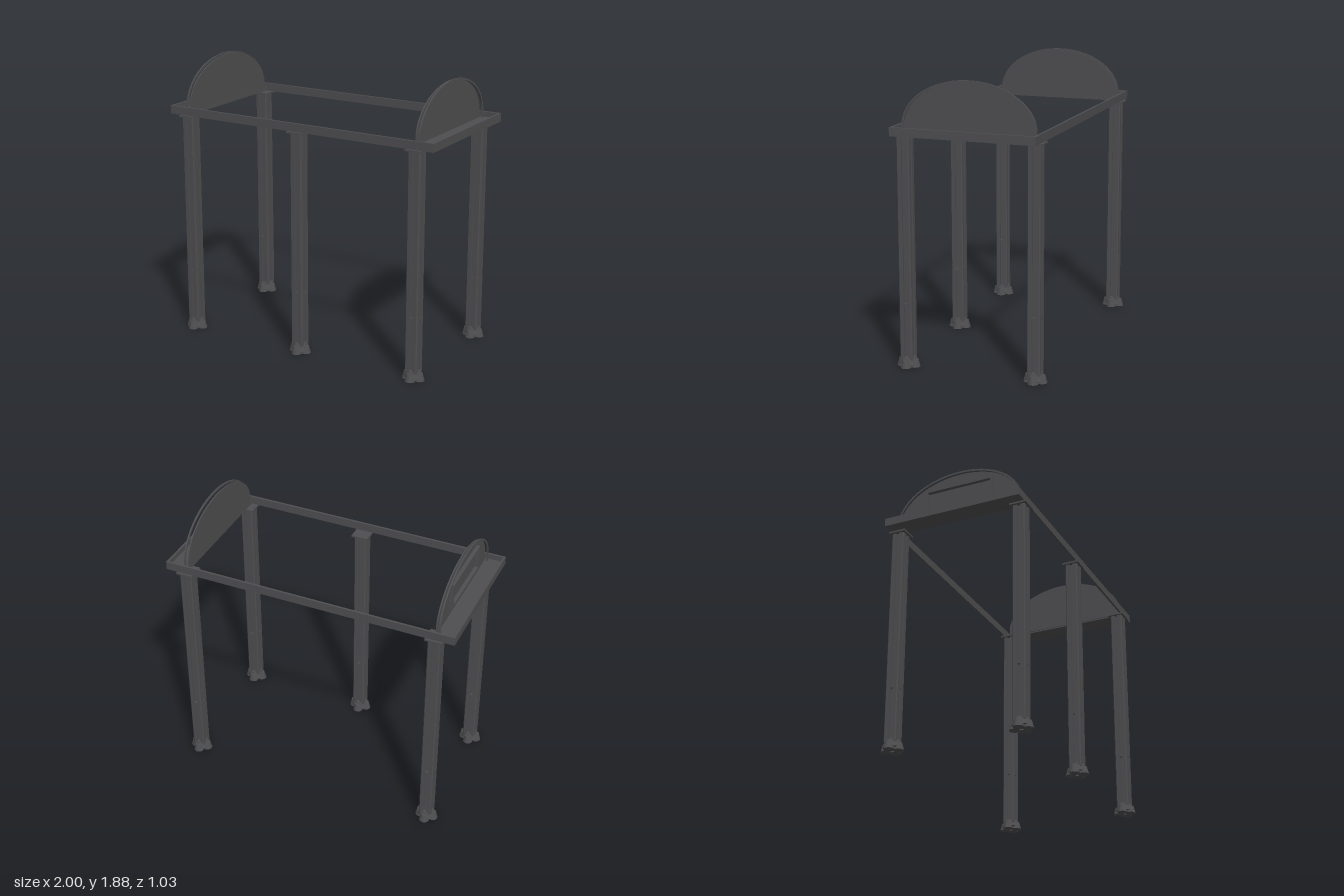
import * as THREE from 'three';

const steel = new THREE.MeshStandardMaterial({ color: 0x4e4e50 });
steel.name = 'dark steel';

function add(parent, name, geometry, x = 0, y = 0, z = 0) {
  const mesh = new THREE.Mesh(geometry, steel);
  mesh.name = name;
  mesh.position.set(x, y, z);
  parent.add(mesh);
  return mesh;
}

const box = (w, h, d) => new THREE.BoxGeometry(w, h, d);

// Square post section with a slot in the middle of each side
function postShape() {
  const h = 0.0425, c = 0.006, s = 0.01, d = 0.016;
  const side = [[h, -h + c], [h, -s], [h - d, -s], [h - d, s], [h, s], [h, h - c]];
  const points = [];
  for (let i = 0; i < 4; i++) {
    for (const [x, y] of side) {
      points.push(new THREE.Vector2(x, y).rotateAround(new THREE.Vector2(), i * Math.PI / 2));
    }
  }
  return new THREE.Shape(points);
}

// Slotted post with a flared four-lobed foot and a square cap
function makeLeg(x, z) {
  const leg = new THREE.Group();
  leg.name = 'leg';
  leg.position.set(x, 0, z);
  const post = new THREE.ExtrudeGeometry(postShape(), { depth: 1.47, bevelEnabled: false });
  post.rotateX(-Math.PI / 2);
  add(leg, 'post', post, 0, 0.05, 0);
  add(leg, 'cap', box(0.115, 0.012, 0.115), 0, 1.524, 0);
  add(leg, 'footCore', new THREE.CylinderGeometry(0.046, 0.062, 0.052, 16), 0, 0.044, 0);
  for (let i = 0; i < 4; i++) {
    const a = i * Math.PI / 2, dx = Math.cos(a), dz = Math.sin(a);
    add(leg, 'footLobe', new THREE.CylinderGeometry(0.022, 0.035, 0.05, 14), dx * 0.044, 0.025, dz * 0.044);
    add(leg, 'slotFastener', box(0.018, 0.02, 0.018), dx * 0.034, 0.42, dz * 0.034);
  }
  return leg;
}

// Half-ellipse outline points standing on straight feet
function archPoints(rx, ry) {
  const points = [new THREE.Vector2(rx, 1.54)];
  for (let i = 0; i <= 40; i++) {
    const a = i * Math.PI / 40;
    points.push(new THREE.Vector2(rx * Math.cos(a), 1.585 + ry * Math.sin(a)));
  }
  points.push(new THREE.Vector2(-rx, 1.54));
  return points;
}

// Extrudes a z-y outline along x, centred
function slab(shape, thickness) {
  const g = new THREE.ExtrudeGeometry(shape, { depth: thickness, bevelEnabled: false });
  g.translate(0, 0, -thickness / 2);
  return g.rotateY(Math.PI / 2);
}

// End tray with its arched plate and the hoop in front of it
function makeEnd(side, plateX, hoopX) {
  const end = new THREE.Group();
  end.name = side > 0 ? 'leftEnd' : 'rightEnd';
  add(end, 'trayFloor', box(0.135, 0.02, 0.94), side * 0.925, 1.54, 0);
  add(end, 'trayOuterWall', box(0.014, 0.056, 0.96), side * 0.993, 1.558, 0);
  add(end, 'archPlate', slab(new THREE.Shape(archPoints(0.44, 0.29)), 0.009), side * plateX);
  const hoop = new THREE.Shape([...archPoints(0.445, 0.3), ...archPoints(0.432, 0.287).reverse()]);
  add(end, 'archHoop', slab(hoop, 0.01), side * hoopX);
  return end;
}

export function createModel() {
  const model = new THREE.Group();
  model.name = 'canopyFrame';

  // Legs: four corners and one at the middle of the front
  for (const [x, z] of [[-0.865, 0.435], [0.865, 0.435], [-0.865, -0.435], [0.865, -0.435], [0, 0.435]]) {
    model.add(makeLeg(x, z));
  }

  // Long beams
  for (const s of [-1, 1]) {
    add(model, s > 0 ? 'frontBeam' : 'backBeam', box(2, 0.056, 0.015), 0, 1.558, s * 0.4725);
  }

  model.add(makeEnd(1, 0.857, 0.882), makeEnd(-1, 0.865, 0.886));

  // Rectangular sign frame on the right end
  const sign = new THREE.Group();
  sign.name = 'signFrame';
  sign.position.set(-0.881, 1.705, 0);
  for (const s of [-1, 1]) {
    add(sign, 'frameRail', box(0.028, 0.014, 0.48), 0, s * 0.078, 0);
    add(sign, 'frameStile', box(0.028, 0.142, 0.014), 0, 0, s * 0.233);
  }
  model.add(sign);
  return model;
}
